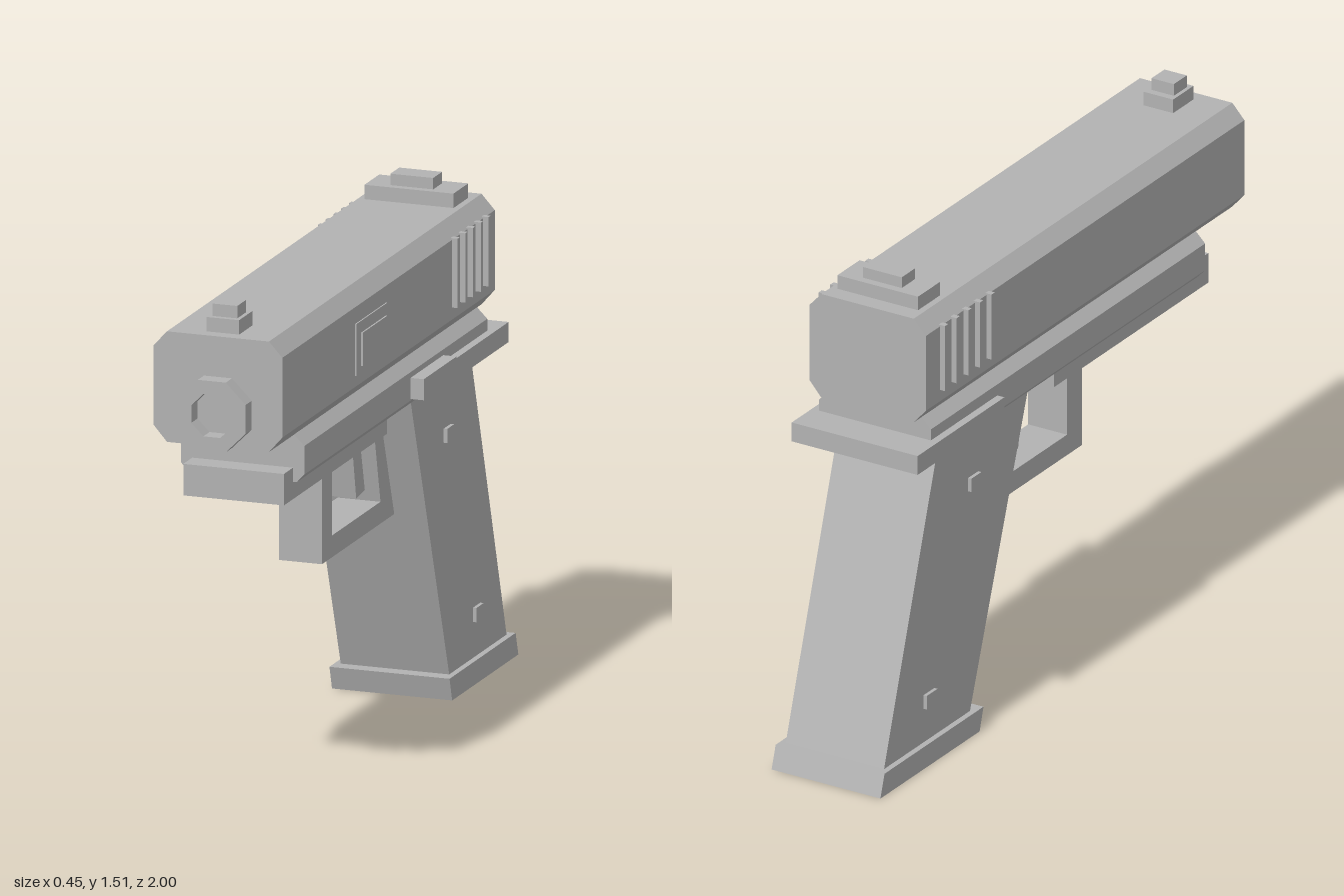
import * as THREE from 'three';

const gunmetal = new THREE.MeshStandardMaterial({ color: 0xb2b2b2 });
gunmetal.name = 'plain grey';

const toShape = (pts) => new THREE.Shape(pts.map(([a, b]) => new THREE.Vector2(a, b)));

export function createModel() {
  const model = new THREE.Group();
  model.name = 'pistol';
  const body = new THREE.Group();
  body.name = 'body';
  body.position.x = -0.01; // the side lever makes the whole slightly lopsided
  model.add(body);

  const add = (name, geometry) => {
    const mesh = new THREE.Mesh(geometry, gunmetal);
    mesh.name = name;
    body.add(mesh);
    return mesh;
  };

  // Box given by its limits on each axis
  const box = (name, x0, x1, y0, y1, z0, z1) =>
    add(name, new THREE.BoxGeometry(x1 - x0, y1 - y0, z1 - z0)
      .translate((x0 + x1) / 2, (y0 + y1) / 2, (z0 + z1) / 2));

  // Side profile of [z, y] points, extruded across the width
  const sideProfile = (name, half, pts) =>
    add(name, new THREE.ExtrudeGeometry(toShape(pts), { depth: 2 * half, bevelEnabled: false })
      .translate(0, 0, -half).rotateY(-Math.PI / 2));

  // Symmetric front section of [halfWidth, y] points, extruded along the length
  const frontSection = (name, z0, z1, pts) => {
    const mirrored = pts.map(([x, y]) => [-x, y]).reverse();
    return add(name, new THREE.ExtrudeGeometry(toShape([...pts, ...mirrored]),
      { depth: z1 - z0, bevelEnabled: false }).translate(0, 0, z0));
  };

  // Slide and frame with chamfered edges
  frontSection('slide', -0.775, 0.95,
    [[0.157, 1.1], [0.198, 1.147], [0.198, 1.385], [0.157, 1.43]]);
  frontSection('frame', -0.735, 0.75,
    [[0.167, 0.96], [0.19, 0.985], [0.19, 1.07], [0.155, 1.105]]);

  // Octagonal muzzle with a bore
  const octagon = (r) => Array.from({ length: 8 }, (_, i) => {
    const a = (i + 0.5) * Math.PI / 4;
    const R = r / Math.cos(Math.PI / 8);
    return [R * Math.cos(a), 1.205 + R * Math.sin(a)];
  });
  const ring = toShape(octagon(0.104));
  ring.holes.push(toShape(octagon(0.063)));
  add('muzzle', new THREE.ExtrudeGeometry(ring, { depth: 0.05, bevelEnabled: false })
    .translate(0, 0, 0.95));

  // Sights
  box('frontSightBase', -0.05, 0.05, 1.425, 1.473, 0.8, 0.91);
  box('frontSightPost', -0.038, 0.038, 1.47, 1.51, 0.823, 0.893);
  box('rearSightBase', -0.137, 0.137, 1.425, 1.473, -0.72, -0.6);
  box('rearSightTop', -0.066, 0.066, 1.47, 1.507, -0.695, -0.623);

  // Grip ribs on both sides of the slide
  for (const side of [-1, 1]) {
    for (let i = 0; i < 5; i++) {
      const z = -0.437 - i * 0.063;
      const x = [side * 0.19, side * 0.215].sort((a, b) => a - b);
      box('slideRib', x[0], x[1], 1.183, 1.39, z - 0.009, z + 0.009);
    }
  }

  // Ejection port plates on the left
  box('ejectionPortFrame', 0.196, 0.202, 1.18, 1.335, 0.105, 0.36);
  box('ejectionPort', 0.2, 0.207, 1.2, 1.3, 0.12, 0.32);

  // Rail under the frame, rear tang and side lever
  box('rail', -0.155, 0.155, 0.908, 1.002, -0.013, 0.823);
  box('tang', -0.214, 0.214, 0.975, 1.035, -0.845, -0.375);
  box('sideLever', 0.17, 0.231, 0.99, 1.053, -0.378, -0.112);

  // Trigger guard and trigger
  sideProfile('triggerGuard', 0.066, [
    [0.28, 0.93], [0.2, 0.93], [0.2, 0.65], [-0.195, 0.65],
    [-0.12, 0.97], [-0.19, 0.97], [-0.33, 0.585], [0.28, 0.585]]);
  sideProfile('trigger', 0.05, [
    [0.012, 0.96], [-0.047, 0.955], [-0.11, 0.705], [-0.04, 0.698]]);

  // Raked grip with base plate and pins
  sideProfile('grip', 0.167, [[-0.17, 0.975], [-0.662, 0.975], [-0.955, 0.06], [-0.49, 0.06]]);
  sideProfile('basePlate', 0.185, [[-0.442, 0.07], [-0.978, 0.07], [-1, 0], [-0.463, 0]]);
  box('upperPin', -0.178, 0.178, 0.773, 0.815, -0.497, -0.442);
  box('lowerPin', -0.178, 0.178, 0.177, 0.22, -0.738, -0.68);

  return model;
}
